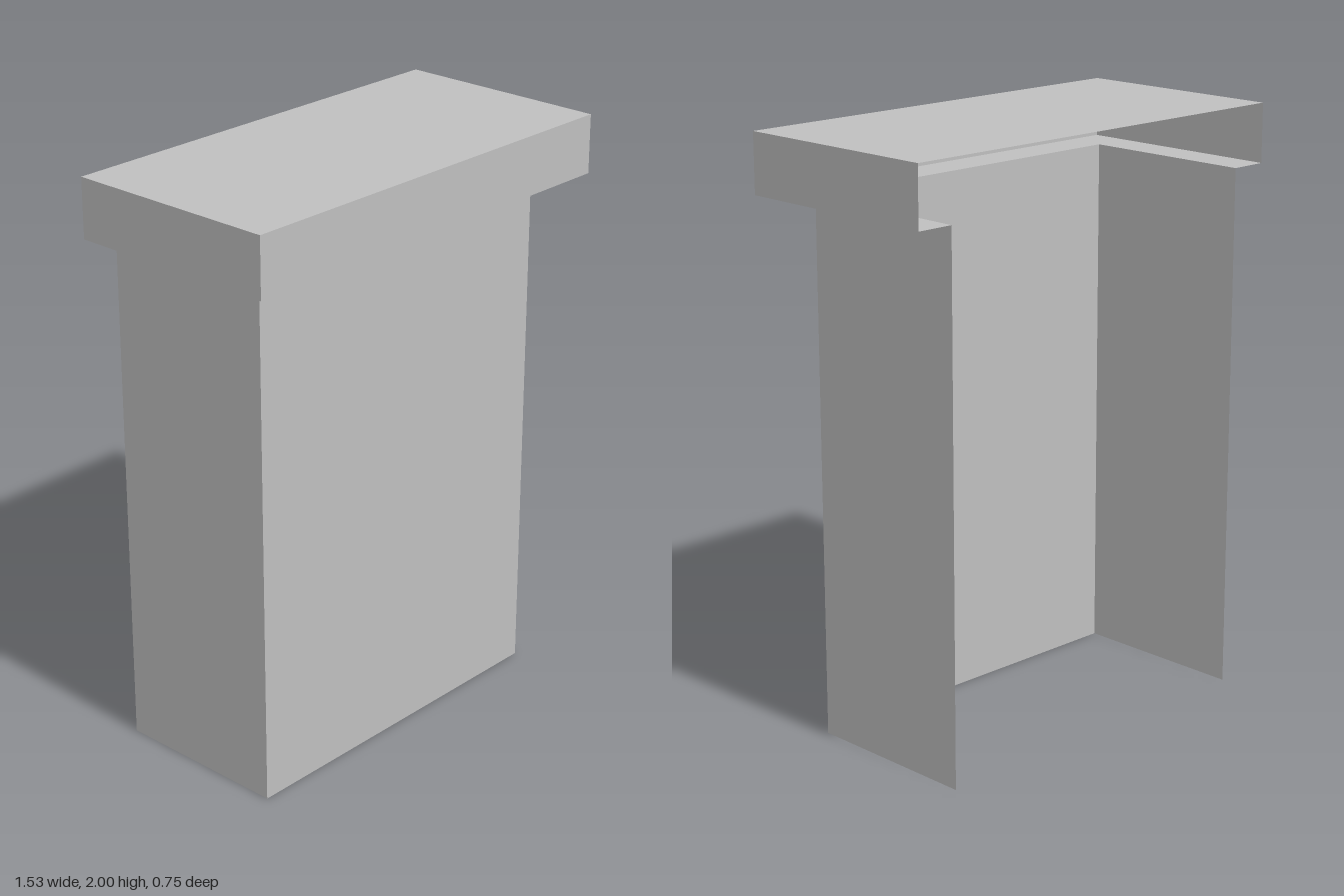
import * as THREE from 'three';

// Open-backed shell: a three-sided pedestal under a hollow, overhanging cap.
export function createModel() {
  const group = new THREE.Group();
  const grey = new THREE.MeshStandardMaterial({ color: 0xbfbfbf, side: THREE.DoubleSide });
  grey.name = 'light grey';

  const H = 2, capY = 1.8, back = -0.375;
  const bodyX = 0.635, bodyZ = 0.24, capX = 0.765, capZ = 0.375;

  function sheet(name, w, h, x, y, z, rx = 0, ry = 0) {
    const mesh = new THREE.Mesh(new THREE.PlaneGeometry(w, h), grey);
    mesh.name = name;
    mesh.position.set(x, y, z);
    mesh.rotation.set(rx, ry, 0);
    group.add(mesh);
  }

  // Front and two side walls, leaving the back and base open
  function walls(name, hx, front, y0, y1) {
    const h = y1 - y0, y = (y0 + y1) / 2, depth = front - back;
    sheet(name + 'Front', hx * 2, h, 0, y, front);
    sheet(name + 'LeftSide', depth, h, hx, y, (front + back) / 2, 0, Math.PI / 2);
    sheet(name + 'RightSide', depth, h, -hx, y, (front + back) / 2, 0, -Math.PI / 2);
  }
  walls('pedestal', bodyX, bodyZ, 0, capY);
  walls('cap', capX, capZ, capY, H);

  // Top of the cap
  sheet('capTop', capX * 2, capZ - back, 0, H, (capZ + back) / 2, -Math.PI / 2);

  // U-shaped underside joining the cap to the pedestal (drawn in x, -z)
  const u = new THREE.Shape([
    [-capX, -back], [-capX, -capZ], [capX, -capZ], [capX, -back],
    [bodyX, -back], [bodyX, -bodyZ], [-bodyX, -bodyZ], [-bodyX, -back],
  ].map(([x, y]) => new THREE.Vector2(x, y)));
  const ledge = new THREE.Mesh(new THREE.ShapeGeometry(u), grey);
  ledge.name = 'capUnderside';
  ledge.rotation.x = -Math.PI / 2;
  ledge.position.y = capY;
  group.add(ledge);

  return group;
}
